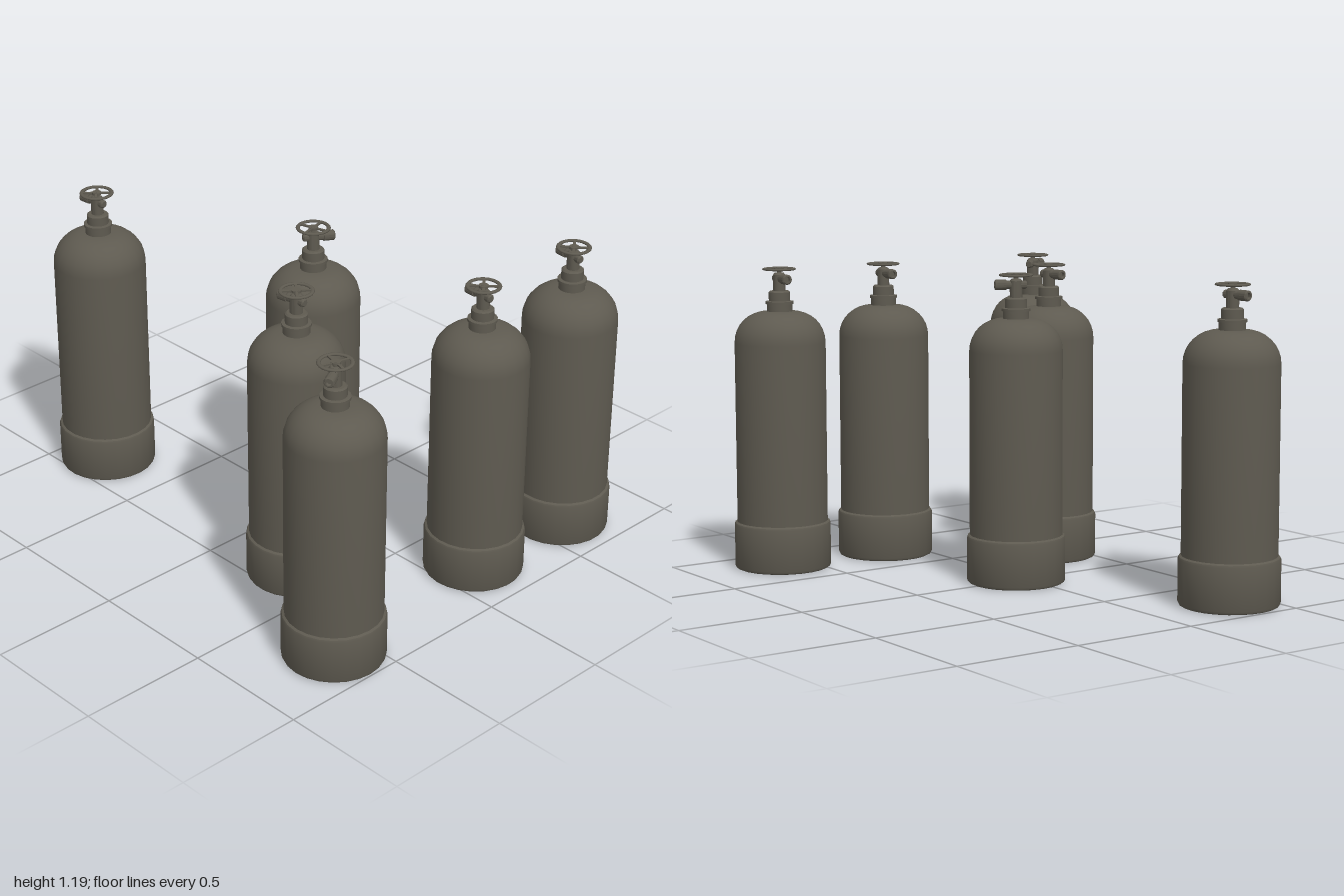
import * as THREE from 'three';
import { toCreasedNormals } from 'three/addons/utils/BufferGeometryUtils.js';

const steel = new THREE.MeshStandardMaterial({ color: 0x5e5a50 });
steel.name = 'dark grey steel';

function mesh(name, geometry, parent) {
  const m = new THREE.Mesh(geometry, steel);
  m.name = name;
  parent.add(m);
  return m;
}

// Lathe from [radius, height] pairs, listed bottom to top
function turned(points, sides) {
  const profile = points.map(([r, y]) => new THREE.Vector2(r, y));
  return toCreasedNormals(new THREE.LatheGeometry(profile, sides), 0.6);
}

// Tank with a rounded shoulder
const shoulder = [];
for (let i = 0; i <= 8; i++) {
  const a = (i / 8) * Math.PI / 2;
  shoulder.push([0.055 + 0.124 * Math.cos(a), 0.895 + 0.122 * Math.sin(a)]);
}
const tankGeo = turned([[0.179, 0.17], ...shoulder, [0, 1.018]], 24);

// Foot ring with softened edges
const footGeo = turned([[0, 0], [0.178, 0], [0.186, 0.004], [0.19, 0.013],
  [0.19, 0.174], [0.187, 0.182], [0.179, 0.187]], 24);

// Stepped neck collar
const neckGeo = turned([[0.05, 1.01], [0.05, 1.046], [0.055, 1.046], [0.055, 1.056],
  [0.042, 1.058], [0.042, 1.092], [0.036, 1.097], [0, 1.097]], 20);

// Valve body and spindle
const valveGeo = turned([[0.024, 1.09], [0.024, 1.16], [0.018, 1.167],
  [0.009, 1.169], [0.009, 1.187], [0, 1.187]], 16);

// Side outlet and the short plug opposite, both built along y
const outletGeo = turned([[0.016, 0], [0.016, 0.038], [0.02, 0.038], [0.02, 0.078],
  [0.016, 0.082], [0.011, 0.082], [0.011, 0.068], [0, 0.068]], 16);
const plugGeo = turned([[0.016, 0], [0.016, 0.036], [0.012, 0.041], [0, 0.041]], 12);

const rimGeo = new THREE.TorusGeometry(0.058, 0.008, 8, 24).rotateX(Math.PI / 2).scale(1, 0.6, 1);
const hubGeo = new THREE.CylinderGeometry(0.018, 0.018, 0.009, 16);
const spokeGeo = new THREE.BoxGeometry(0.05, 0.006, 0.01).translate(0.033, 0, 0);

function makeCylinder(x, z, angle) {
  const g = new THREE.Group();
  g.name = 'gasCylinder';
  g.position.set(x, 0, z);
  g.rotation.y = angle;
  mesh('tank', tankGeo, g);
  mesh('footRing', footGeo, g);
  mesh('neckCollar', neckGeo, g);
  mesh('valveBody', valveGeo, g);

  const outlet = mesh('outlet', outletGeo, g);
  outlet.position.y = 1.145;
  outlet.rotation.z = -Math.PI / 2;
  const plug = mesh('plug', plugGeo, g);
  plug.position.y = 1.145;
  plug.rotation.z = Math.PI / 2;

  // Handwheel
  const wheel = new THREE.Group();
  wheel.name = 'handwheel';
  wheel.position.y = 1.182;
  mesh('rim', rimGeo, wheel);
  mesh('hub', hubGeo, wheel);
  for (let i = 0; i < 4; i++) {
    mesh('spoke', spokeGeo, wheel).rotation.y = Math.PI / 4 + i * Math.PI / 2;
  }
  g.add(wheel);
  return g;
}

export function createModel() {
  const model = new THREE.Group();
  model.name = 'gasCylinders';
  // Centre x, centre z, then the x and z direction the outlet faces
  const layout = [
    [-0.81, 0.34, -1, 0.07],
    [-0.01, -0.05, 0.5, -0.87],
    [0.33, 0.355, -1, 0.1],
    [0.77, -0.63, -1, -0.12],
    [0.76, -0.155, -1, -0.06],
    [0.81, 0.625, 0.5, 0.87],
  ];
  for (const [x, z, dx, dz] of layout) model.add(makeCylinder(x, z, Math.atan2(-dz, dx)));
  return model;
}
